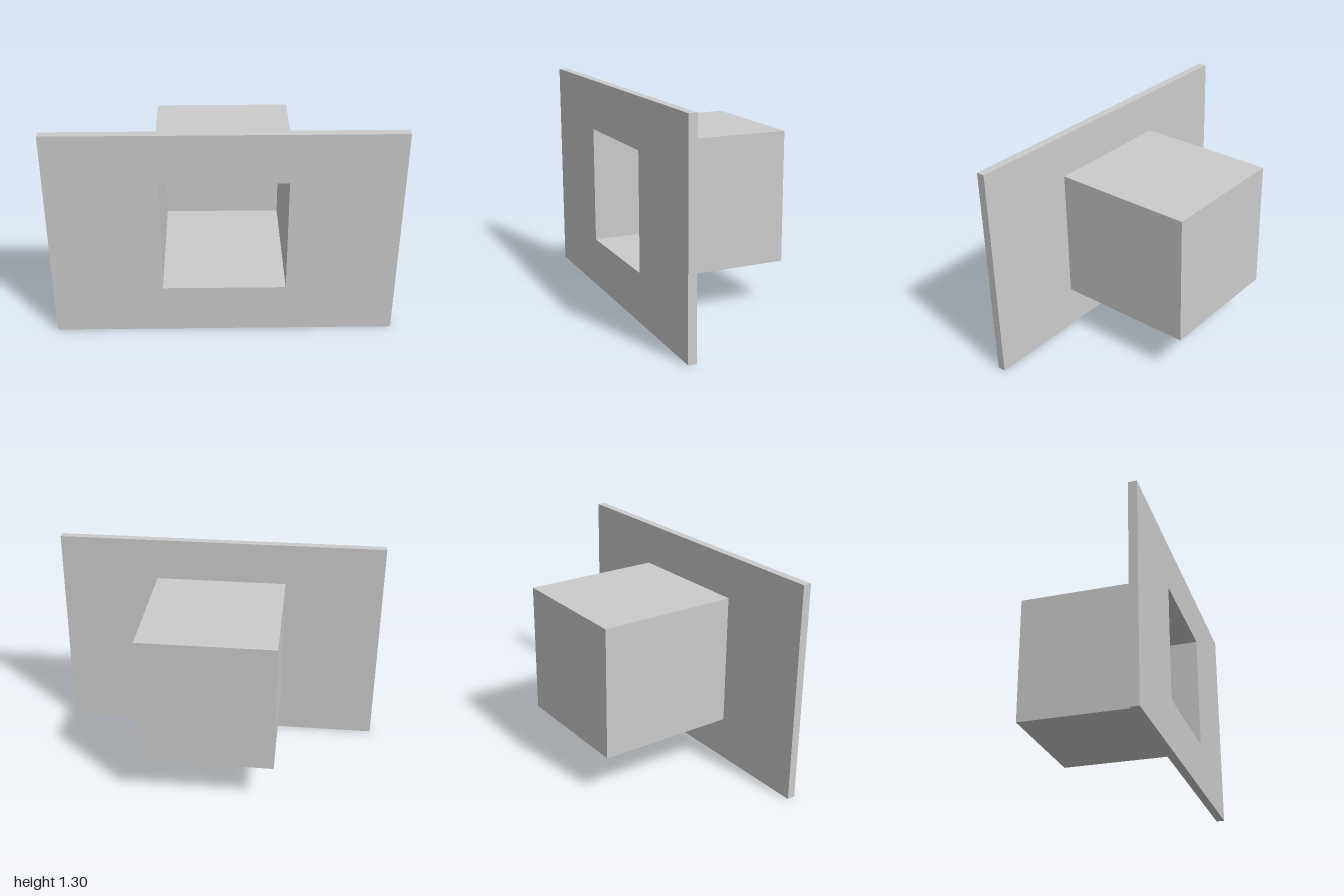
import * as THREE from 'three';

const material = new THREE.MeshStandardMaterial({ color: 0xcccccc });

// Counter-clockwise rectangle outline
function rect(Type, x, y0, y1) {
  return new Type([
    new THREE.Vector2(-x, y0), new THREE.Vector2(x, y0),
    new THREE.Vector2(x, y1), new THREE.Vector2(-x, y1),
  ]);
}

// Rectangular slab along z, optionally pierced by the opening
function slab(name, x, y0, y1, z0, z1, open) {
  const shape = rect(THREE.Shape, x, y0, y1);
  if (open) shape.holes.push(rect(THREE.Path, 0.36, 0.3, 1.005));
  const geometry = new THREE.ExtrudeGeometry(shape, { depth: z1 - z0, bevelEnabled: false });
  geometry.translate(0, 0, z0);
  const mesh = new THREE.Mesh(geometry, material);
  mesh.name = name;
  return mesh;
}

export function createModel() {
  const model = new THREE.Group();
  model.name = 'wallNiche';
  model.add(
    // Wide front panel with the opening
    slab('frontPanel', 1, 0, 1.305, 0.4, 0.45, true),
    // Four walls of the recess
    slab('nicheWalls', 0.4, 0.26, 1.05, -0.4, 0.4, true),
    // Closed end of the recess
    slab('nicheBack', 0.4, 0.26, 1.05, -0.45, -0.4, false),
  );
  return model;
}
